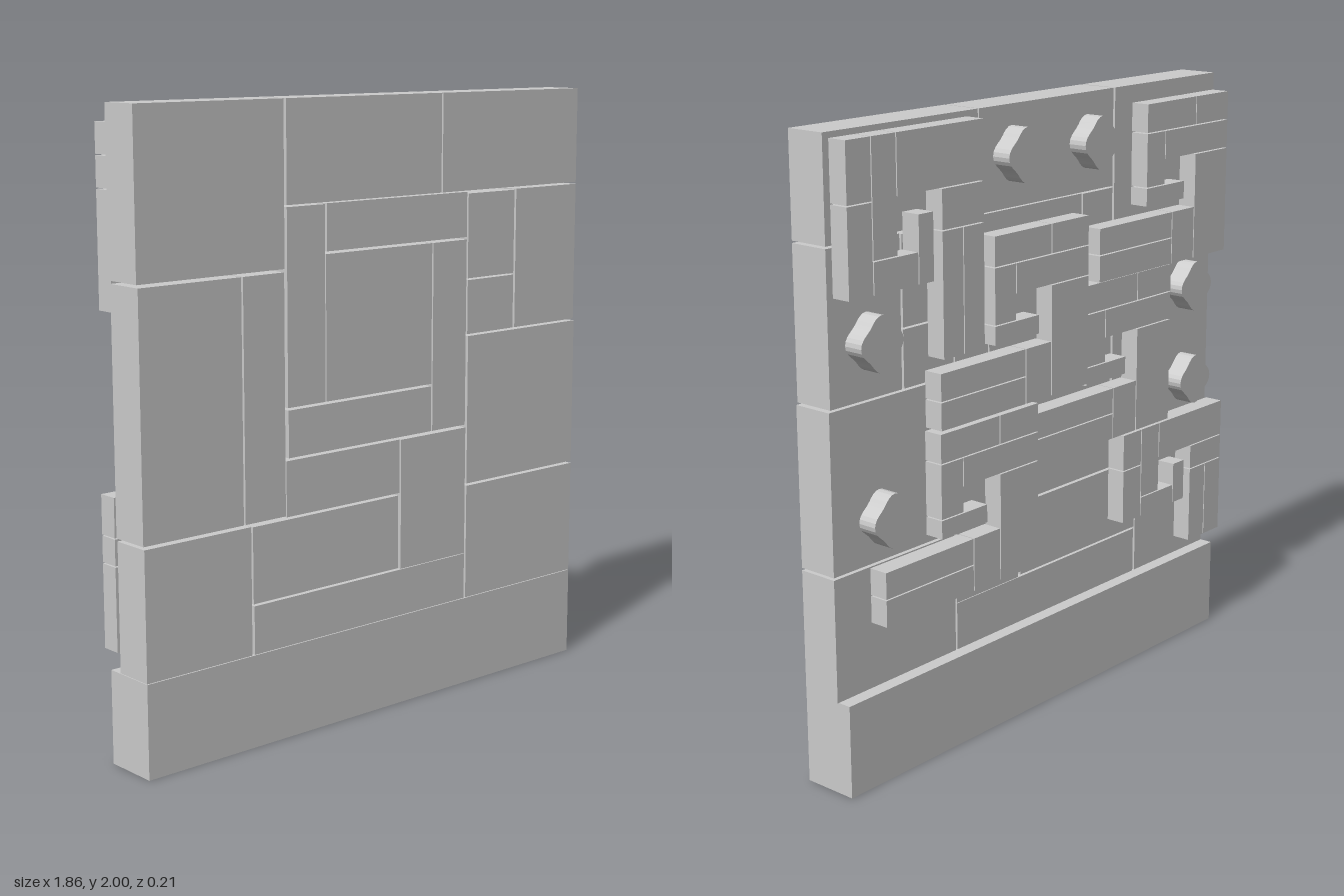
import * as THREE from 'three';

export function createModel() {
  const model = new THREE.Group();
  model.name = 'carvedStoneWall';
  const stone = new THREE.MeshStandardMaterial({ color: 0xcccccc, flatShading: true });

  // Box given by its limits on each axis
  const block = (parent, name, x0, x1, y0, y1, z0, z1) => {
    const geo = new THREE.BoxGeometry(Math.abs(x1 - x0), Math.abs(y1 - y0), z1 - z0);
    const mesh = new THREE.Mesh(geo, stone);
    mesh.position.set((x0 + x1) / 2, (y0 + y1) / 2, (z0 + z1) / 2);
    mesh.name = name;
    parent.add(mesh);
  };

  // Plinth
  block(model, 'plinth', -0.925, 0.922, 0, 0.3, -0.08, 0.105);

  // Large fitted wall stones: x0, x1, y0, y1
  const wall = new THREE.Group();
  wall.name = 'wallStones';
  model.add(wall);
  [
    [-0.93, -0.382, 1.49, 2],
    [-0.372, 0.277, 1.682, 2],
    [0.283, 0.922, 1.682, 2],
    [-0.372, -0.22, 1.06, 1.676],
    [-0.212, 0.395, 1.53, 1.678],
    [-0.216, 0.238, 1.06, 1.522],
    [0.244, 0.395, 0.902, 1.522],
    [-0.37, 0.238, 0.902, 1.052],
    [-0.925, -0.55, 0.72, 1.48],
    [-0.543, -0.384, 0.72, 1.48],
    [0.402, 0.618, 1.393, 1.672],
    [0.402, 0.618, 1.207, 1.387],
    [0.627, 0.922, 1.207, 1.675],
    [0.406, 0.927, 0.698, 1.2],
    [0.406, 0.927, 0.3, 0.69],
    [-0.922, -0.522, 0.3, 0.71],
    [-0.38, 0.097, 0.716, 0.894],
    [0.104, 0.398, 0.458, 0.892],
    [-0.515, 0.092, 0.463, 0.708],
    [-0.512, 0.398, 0.3, 0.456],
  ].forEach((s) => block(wall, 'wallStone', ...s, -0.035, 0.1));

  // Spiral fret bricks on the back, seen from behind: left, right, bottom, top
  const BACK = -0.105, FRONT = -0.04, GAP = 0.002;
  const fret = [
    [0, 0.1, -0.185, 0],
    [0, 0.1, -0.455, -0.185],
    [0.1, 0.2, -0.355, 0],
    [0.1, 0.285, -0.455, -0.355],
    [0.285, 0.35, -0.455, -0.245],
    [0.2, 0.57, -0.185, 0],
    [0.385, 0.57, -0.31, -0.185],
    [0.385, 0.477, -0.7, -0.31],
    [0.477, 0.57, -0.7, -0.31],
  ];
  // Anchor x, anchor y, quarter turned, height factor
  [
    [0.905, 1.985, false, 1],
    [-0.36, 0.845, false, 0.69],
    [-0.92, 1.945, true, 0.97],
    [-0.165, 1.625, true, 0.98],
    [-0.61, 1.395, true, 0.96],
    [0.084, 1.06, true, 0.96],
  ].forEach(([ax, ay, turned, sy]) => {
    const group = new THREE.Group();
    group.name = 'spiralFret';
    model.add(group);
    for (const [l, r, b, t] of fret) {
      const [p0, p1, q0, q1] = turned ? [b, t, -r, -l] : [l, r, b, t];
      block(group, 'fretBrick', ax - p1 + GAP, ax - p0 - GAP,
        ay + q0 * sy + GAP, ay + q1 * sy - GAP, BACK, FRONT);
    }
  });

  // Lobed bosses between the frets
  const outline = [];
  for (let i = 0; i < 40; i++) {
    const a = (i / 40) * Math.PI * 2;
    const r = 0.078 + 0.008 * Math.cos(4 * a);
    outline.push(new THREE.Vector2(r * Math.cos(a), r * Math.sin(a)));
  }
  const bossGeo = new THREE.ExtrudeGeometry(new THREE.Shape(outline), {
    depth: FRONT - BACK, bevelEnabled: false,
  });
  [
    [0.135, 1.85], [-0.23, 1.845], [0.775, 1.385],
    [0.737, 0.84], [-0.76, 1.29], [-0.765, 0.957],
  ].forEach(([x, y]) => {
    const boss = new THREE.Mesh(bossGeo, stone);
    boss.position.set(x, y, BACK);
    boss.name = 'boss';
    model.add(boss);
  });

  return model;
}
